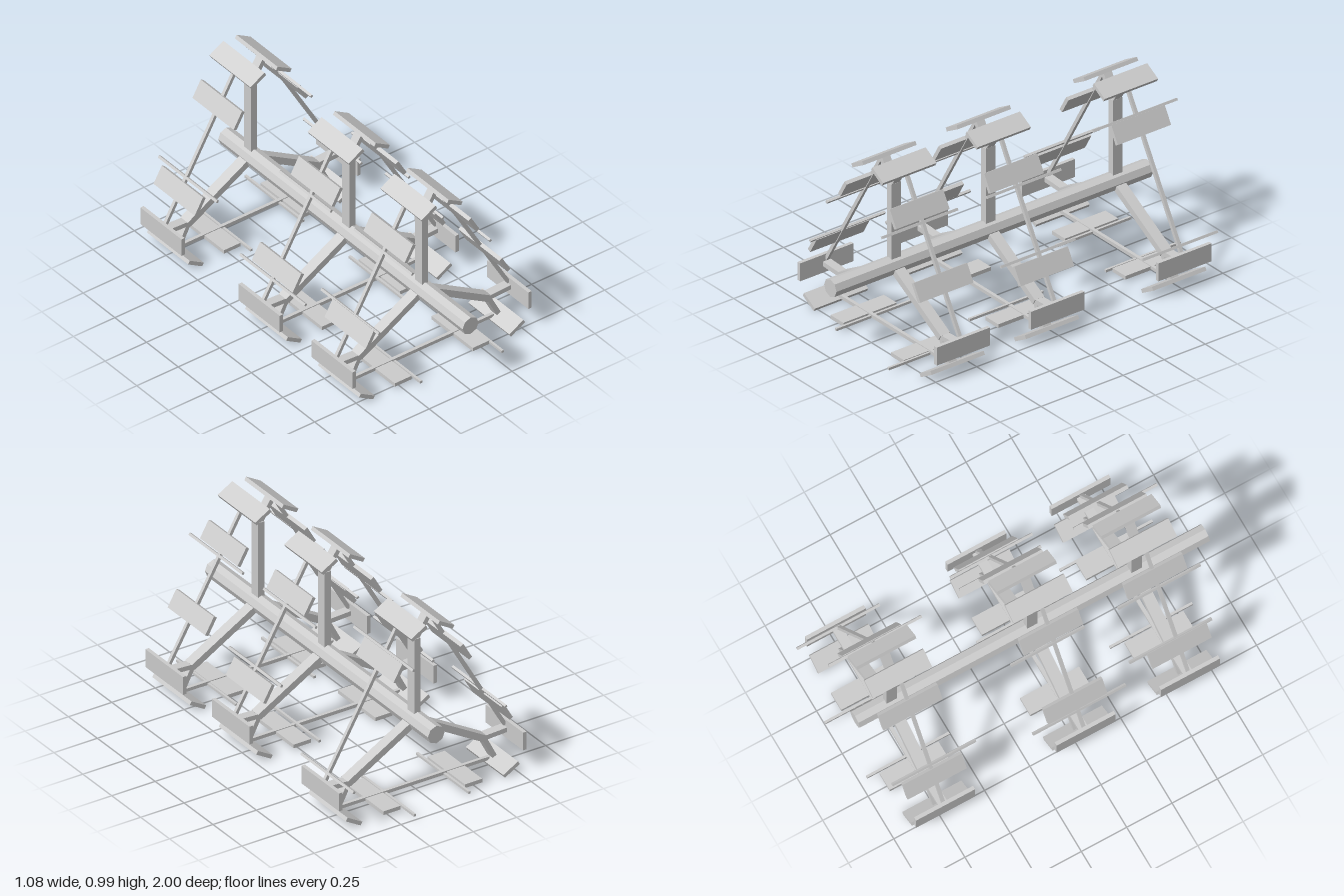
import * as THREE from 'three';

const material = new THREE.MeshStandardMaterial({ color: 0xcccccc, flatShading: true });
const AXIS_Y = 0.387;        // height of the central spine
const SIDE = 0.353;          // distance from the spine to each side rod

function box(name, parent, w, h, d, x, y, z = 0, angle = 0) {
  const mesh = new THREE.Mesh(new THREE.BoxGeometry(w, h, d), material);
  mesh.name = name;
  mesh.position.set(x, y, z);
  mesh.rotation.z = angle;
  parent.add(mesh);
  return mesh;
}

// Bar of given width and depth between two points in the XY plane
function bar(name, parent, x1, y1, x2, y2, width, depth) {
  const length = Math.hypot(x2 - x1, y2 - y1);
  return box(name, parent, width, length, depth, (x1 + x2) / 2, (y1 + y2) / 2, 0,
    Math.atan2(y2 - y1, x2 - x1) - Math.PI / 2);
}

// Arm pointing up from the spine, forked at its end, with a panel on each prong
function buildArm() {
  const arm = new THREE.Group();
  arm.name = 'forkedArm';
  bar('arm', arm, 0, 0, 0, 0.452, 0.036, 0.058);
  for (const s of [-1, 1]) {
    bar('forkProng', arm, 0, 0.448, s * 0.073, 0.562, 0.025, 0.048);
    box('endPanel', arm, 0.098, 0.02, 0.325, s * 0.077, 0.568, 0, -s * Math.PI / 6);
  }
  return arm;
}

// Bottom side rod with flaps at the given offsets along it;
// each cross stick is [offset along rod, back z, front z, height above rod]
function buildSide(flaps, sticks) {
  const side = new THREE.Group();
  side.name = 'side';
  box('sideRod', side, 0.86, 0.018, 0.018, 0, -SIDE);
  for (const x of flaps) box('flap', side, 0.1, 0.02, 0.325, x, -SIDE - 0.005);
  for (const [x, z0, z1, lift = -0.005] of sticks)
    box('crossStick', side, 0.013, 0.013, z1 - z0, x, -SIDE + lift, (z0 + z1) / 2);
  return side;
}

// Sides in order: bottom, right of front (+x), left of front (-x).
// Offsets run along +x for the bottom, upward on +x, downward on -x.
const F = 0.235;
const rings = [
  { z: 0.6125, sides: [
    { flaps: [-F, F], sticks: [[-0.17, -0.235, 0.22], [0.29, -0.25, 0.262]] },
    { flaps: [-0.137, F], sticks: [[0.17, -0.21, 0.25]] },
    { flaps: [-F, F], sticks: [[-0.16, -0.225, 0.23], [0.185, -0.26, 0.195]] }] },
  { z: 0.0375, sides: [
    { flaps: [-F, F], sticks: [[0.163, -0.205, 0.245, 0.006]] },
    { flaps: [-F, F], sticks: [[-0.165, -0.22, 0.232], [0.172, -0.265, 0.185]] },
    { flaps: [-F, F], sticks: [[-0.16, -0.24, 0.165], [0.3, -0.25, 0.263]] }] },
  { z: -0.7375, sides: [
    { flaps: [-F, F], sticks: [[-0.17, -0.225, 0.23], [0.17, -0.2625, 0.195]] },
    { flaps: [F], sticks: [[-0.375, -0.23, 0.225], [0.29, -0.245, 0.268]] },
    { flaps: [-F, F], sticks: [[0.16, -0.21, 0.25]] }] },
];

export function createModel() {
  const model = new THREE.Group();
  model.name = 'triangularFrame';

  // Central eight-sided spine
  const spine = new THREE.Mesh(new THREE.CylinderGeometry(0.048, 0.048, 1.93, 8), material);
  spine.name = 'spine';
  spine.rotation.x = Math.PI / 2;
  spine.position.set(0, AXIS_Y, 0.035);
  model.add(spine);

  // Three triangular rings along the spine
  for (const { z, sides } of rings) {
    const ring = new THREE.Group();
    ring.name = 'ring';
    ring.position.set(0, AXIS_Y, z);
    sides.forEach(({ flaps, sticks }, i) => {
      const angle = i * 2 * Math.PI / 3;
      const arm = buildArm();
      const side = buildSide(flaps, sticks);
      arm.rotation.z = side.rotation.z = angle;
      ring.add(arm, side);
    });
    model.add(ring);
  }
  return model;
}
